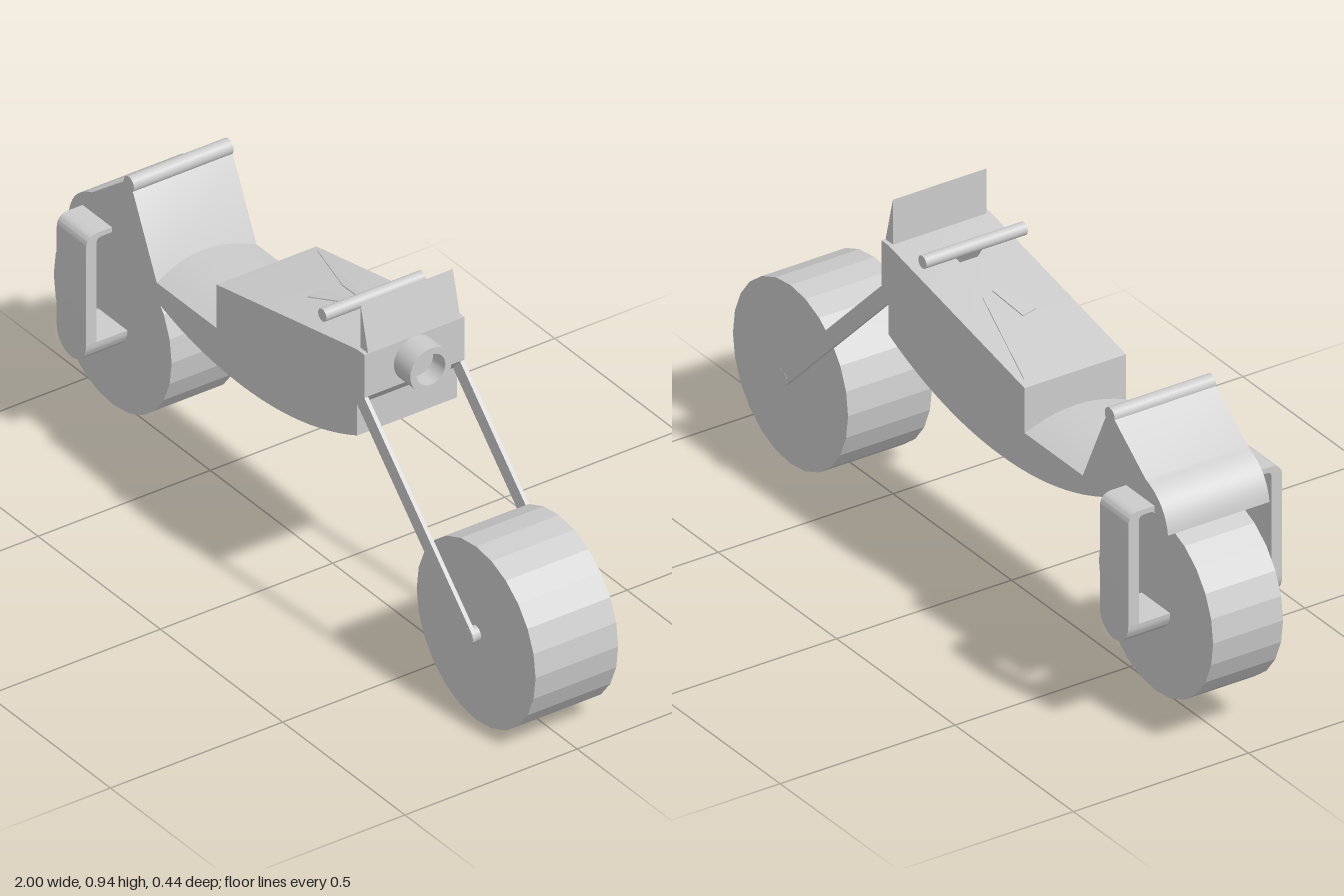
import * as THREE from 'three';
import { toCreasedNormals } from 'three/addons/utils/BufferGeometryUtils.js';

const smooth = new THREE.MeshStandardMaterial({ color: 0xcccccc, side: THREE.DoubleSide });
const faceted = new THREE.MeshStandardMaterial({ color: 0xcccccc, flatShading: true });

function add(parent, name, geometry, material = smooth) {
  const mesh = new THREE.Mesh(geometry, material);
  mesh.name = name;
  parent.add(mesh);
  return mesh;
}

// Side profile in x/y, extruded evenly to both sides of the z = 0 plane
function slab(shape, width) {
  const g = new THREE.ExtrudeGeometry(shape, { depth: width, bevelEnabled: false, curveSegments: 12 });
  g.translate(0, 0, -width / 2);
  return toCreasedNormals(g, 0.5);
}

// Cross-section drawn as (z, y), extruded along x from x0 to x1
function alongX(shape, x0, x1) {
  const g = new THREE.ExtrudeGeometry(shape, { depth: x1 - x0, bevelEnabled: false, curveSegments: 10 });
  g.rotateY(Math.PI / 2);
  g.scale(1, 1, -1);
  // the mirror turns the faces inside out, so swap two corners of each triangle
  const p = g.attributes.position;
  const a = new THREE.Vector3(), b = new THREE.Vector3();
  for (let i = 0; i < p.count; i += 3) {
    a.fromBufferAttribute(p, i + 1);
    b.fromBufferAttribute(p, i + 2);
    p.setXYZ(i + 1, b.x, b.y, b.z);
    p.setXYZ(i + 2, a.x, a.y, a.z);
  }
  g.deleteAttribute('normal');
  g.translate(x0, 0, 0);
  return toCreasedNormals(g, 0.5);
}

// Cylinder lying along z
function crossBar(r, length, sides) {
  return new THREE.CylinderGeometry(r, r, length, sides).rotateX(Math.PI / 2);
}

function polygon(points) {
  return new THREE.Shape(points.map(([x, y]) => new THREE.Vector2(x, y)));
}

export function createModel() {
  const bike = new THREE.Group();
  bike.name = 'motorcycle';

  // Body: belly, nose, tank, seat well, backrest and rear fender in one profile
  const s = new THREE.Shape();
  s.moveTo(-0.875, 0.58);
  s.quadraticCurveTo(-0.76, 0.685, -0.64, 0.575);
  s.quadraticCurveTo(-0.42, 0.467, -0.17, 0.467);
  s.quadraticCurveTo(0.08, 0.467, 0.305, 0.573);
  s.lineTo(0.305, 0.66);
  s.lineTo(0.335, 0.695);
  s.lineTo(0.335, 0.815);
  s.lineTo(0.305, 0.815);
  s.lineTo(-0.27, 0.697);
  s.lineTo(-0.27, 0.575);
  s.lineTo(-0.515, 0.575);
  s.lineTo(-0.61, 0.775);
  s.lineTo(-0.635, 0.8);
  s.lineTo(-0.78, 0.69);
  s.quadraticCurveTo(-0.865, 0.66, -0.875, 0.58);
  add(bike, 'body', slab(s, 0.29));

  // Cushion with a domed cross-section
  const dome = new THREE.Shape();
  dome.moveTo(-0.143, 0.56);
  dome.lineTo(0.143, 0.56);
  dome.lineTo(0.143, 0.575);
  dome.quadraticCurveTo(0, 0.636, -0.143, 0.575);
  add(bike, 'seat', alongX(dome, -0.54, -0.268));

  add(bike, 'backrestRoll', crossBar(0.021, 0.29, 16)).position.set(-0.629, 0.792, 0);

  // Windshield
  add(bike, 'windshield', slab(polygon([[0.303, 0.81], [0.335, 0.81], [0.303, 0.937]]), 0.268));

  // Slim creases lying on the sloping tank top
  const blades = [
    [[-0.25, 0.13], [0.05, 0.05], [0.06, 0.035], [-0.03, 0.05]],
    [[-0.05, 0.0], [0.06, 0.015], [0.07, 0.0], [-0.04, -0.045]],
  ];
  const slope = Math.atan2(0.118, 0.575);
  for (const pts of blades) {
    const g = new THREE.ExtrudeGeometry(polygon(pts), { depth: 0.003, bevelEnabled: false });
    const blade = add(bike, 'tankCrease', g.rotateX(-Math.PI / 2).rotateZ(slope));
    blade.position.set(0, 0.7524, 0);
  }

  // Handlebar on a short leaning stem
  add(bike, 'handlebar', crossBar(0.017, 0.29, 16)).position.set(0.162, 0.837, 0);
  const stem = add(bike, 'handlebarStem', new THREE.BoxGeometry(0.022, 0.07, 0.05));
  stem.position.set(0.178, 0.812, 0);
  stem.rotation.z = 0.6;

  // Headlight: hollow cup with a recessed lens, turned to face +x
  const cup = [[0, 0.02], [0.042, 0.02], [0.042, 0.07], [0.06, 0.07], [0.06, 0]];
  const lamp = new THREE.LatheGeometry(cup.map(([r, h]) => new THREE.Vector2(r, h)), 28);
  lamp.rotateZ(-Math.PI / 2);
  add(bike, 'headlight', toCreasedNormals(lamp, 0.5)).position.set(0.332, 0.755, 0);

  // Wheels
  add(bike, 'frontWheel', crossBar(0.243, 0.24, 24), faceted).position.set(0.756, 0.244, 0);
  add(bike, 'rearWheel', crossBar(0.241, 0.2, 24), faceted).position.set(-0.758, 0.33, 0);

  // Rear hanger section: flat arm bending down into the side plate
  const hanger = new THREE.Shape();
  hanger.moveTo(0.13, 0.635);
  hanger.lineTo(0.185, 0.635);
  hanger.quadraticCurveTo(0.22, 0.635, 0.22, 0.6);
  hanger.lineTo(0.22, 0.328);
  hanger.lineTo(0.19, 0.328);
  hanger.lineTo(0.19, 0.605);
  hanger.quadraticCurveTo(0.19, 0.621, 0.174, 0.621);
  hanger.lineTo(0.13, 0.621);

  // Half-round rear axle block
  const half = new THREE.Shape();
  half.absarc(0, 0, 0.06, Math.PI, 2 * Math.PI, false);

  // Fork blade with a rounded lower end, built along its length
  const from = new THREE.Vector2(0.29, 0.705), to = new THREE.Vector2(0.756, 0.245);
  const length = from.distanceTo(to);
  const fork = new THREE.Shape();
  fork.moveTo(0, -0.022);
  fork.lineTo(length, -0.022);
  fork.absarc(length, 0, 0.022, -Math.PI / 2, Math.PI / 2, false);
  fork.lineTo(0, 0.022);

  for (const side of [1, -1]) {
    const label = side > 0 ? 'left' : 'right';
    const section = side > 0 ? hanger
      : polygon(hanger.getPoints(10).map((p) => [-p.x, p.y]));
    add(bike, label + 'RearHanger', alongX(section, -0.818, -0.698));
    add(bike, label + 'RearAxle', slab(half, 0.13)).position.set(-0.758, 0.328, side * 0.155);

    const blade = add(bike, label + 'Fork', slab(fork, 0.011));
    blade.position.set(from.x, from.y, side * 0.139);
    blade.rotation.z = Math.atan2(to.y - from.y, to.x - from.x);
    add(bike, label + 'FrontAxle', crossBar(0.02, 0.03, 16)).position.set(to.x, to.y, side * 0.13);
  }

  return bike;
}
